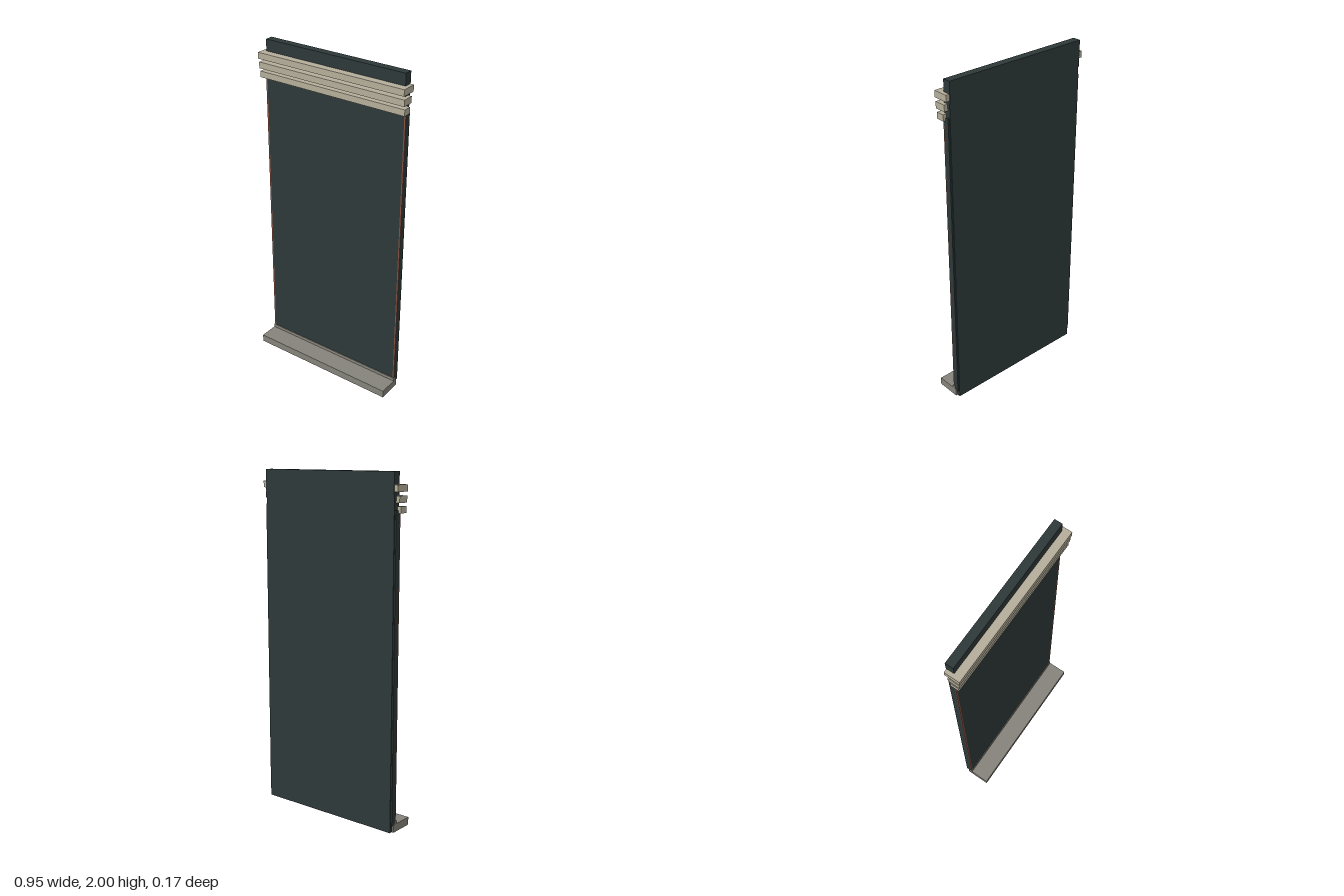
import * as THREE from 'three';

const material = (name, color) => {
  const m = new THREE.MeshStandardMaterial({ color });
  m.name = name;
  return m;
};

export function createModel() {
  const model = new THREE.Group();
  model.name = 'wallPanel';
  const dark = material('dark slate', 0x2e3838);
  const stone = material('pale stone', 0xb5ae9a);
  const sill = material('grey stone', 0x85837a);
  const brick = material('brick red', 0x84503e);

  // Box given by its lower and upper limits on each axis
  const box = (name, mat, [x0, x1], [y0, y1], [z0, z1]) => {
    const mesh = new THREE.Mesh(new THREE.BoxGeometry(x1 - x0, y1 - y0, z1 - z0), mat);
    mesh.position.set((x0 + x1) / 2, (y0 + y1) / 2, (z0 + z1) / 2);
    mesh.name = name;
    model.add(mesh);
  };
  const wide = (half) => [-half, half];

  // Main slab and the slightly deeper block on top
  box('panel', dark, wide(0.455), [0, 1.88], [-0.08, -0.037]);
  box('topBlock', dark, wide(0.455), [1.88, 2], [-0.084, -0.036]);

  // Side edges: dark cheek with a thin brick facing on the front
  for (const [side, s] of [['left', 1], ['right', -1]]) {
    const span = (a, b) => (s > 0 ? [a, b] : [-b, -a]);
    box(side + 'Cheek', dark, span(0.455, 0.464), [0.04, 1.8], [-0.075, -0.042]);
    box(side + 'BrickEdge', brick, span(0.455, 0.464), [0.04, 1.8], [-0.042, -0.037]);
  }

  // Stepped cornice, deepest at the top
  const steps = [
    [1.895, 1.932, -0.08, 0.01],
    [1.838, 1.875, -0.064, 0.004],
    [1.784, 1.82, -0.053, -0.003],
  ];
  steps.forEach(([y0, y1, z0, z1], i) =>
    box('cornice' + (i + 1), stone, wide(0.477), [y0, y1], [z0, z1]));

  // Projecting sill with a low upstand behind it
  box('sill', sill, wide(0.467), [0, 0.046], [-0.06, 0.084]);
  box('sillUpstand', sill, wide(0.467), [0.046, 0.066], [-0.05, -0.033]);
  return model;
}
